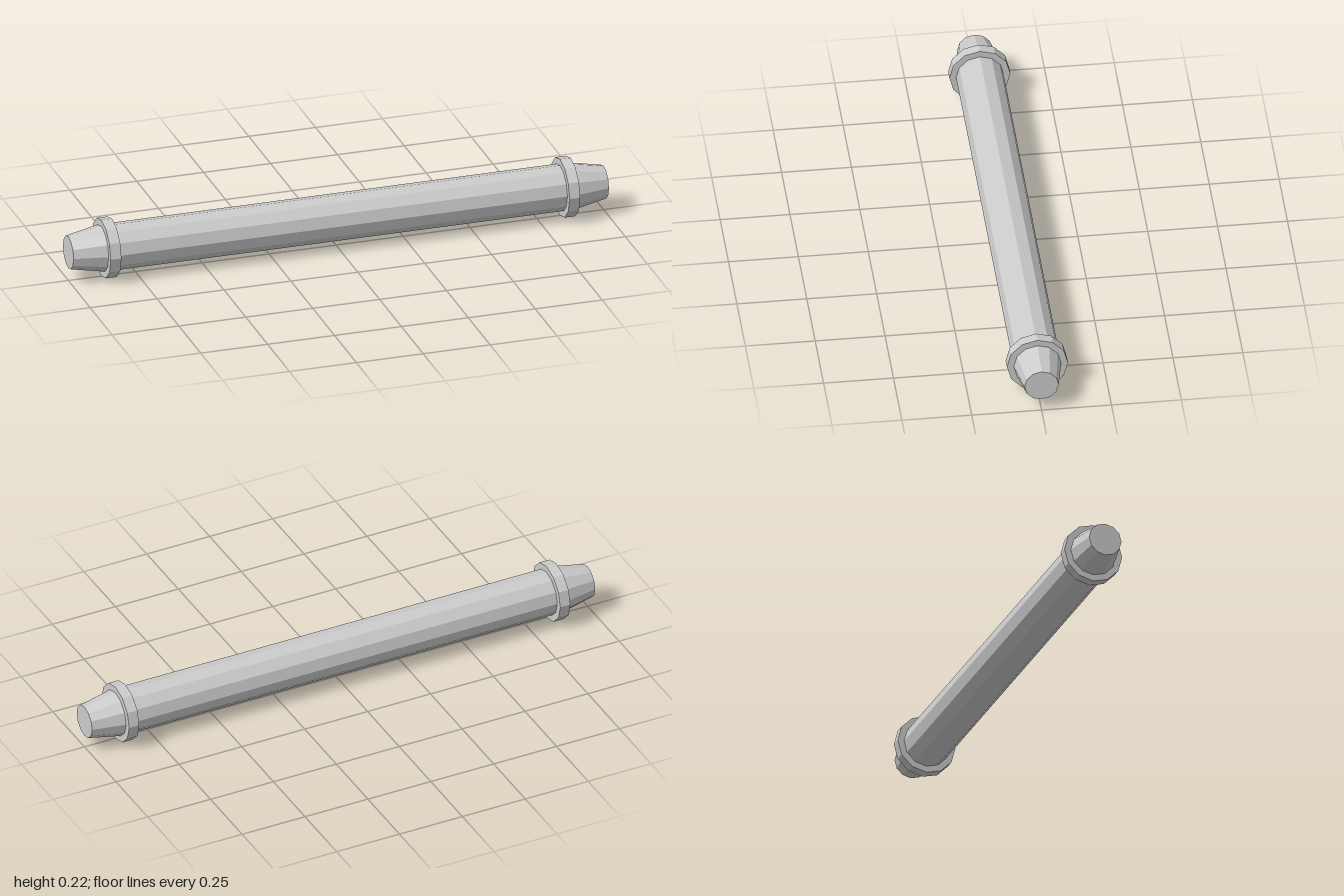
import * as THREE from 'three';

const SIDES = 12;
const AXIS_Y = 0.109;
const SHAFT_R = 0.085;
const COLLAR_R = 0.109;
const TIP_R = 0.061;
const COLLAR_IN = 0.837;
const COLLAR_OUT = 0.877;

export function createModel() {
  const model = new THREE.Group();
  const material = new THREE.MeshStandardMaterial({ color: 0xcccccc, flatShading: true });

  // Revolves [radius, distance] points around the long axis; dir = 1 or -1 picks the end
  function addTurned(name, points, dir) {
    const profile = points.map(([r, d]) => new THREE.Vector2(r, d));
    const mesh = new THREE.Mesh(new THREE.LatheGeometry(profile, SIDES), material);
    mesh.name = name;
    mesh.rotation.z = -dir * Math.PI / 2;
    mesh.position.y = AXIS_Y;
    model.add(mesh);
  }

  // Long straight shaft
  addTurned('shaft', [[SHAFT_R, -COLLAR_OUT], [SHAFT_R, COLLAR_OUT]], 1);

  for (const [side, dir] of [['left', 1], ['right', -1]]) {
    // Raised collar near the end
    addTurned(side + 'Collar', [
      [SHAFT_R, COLLAR_IN], [COLLAR_R, COLLAR_IN],
      [COLLAR_R, COLLAR_OUT], [SHAFT_R, COLLAR_OUT],
    ], dir);
    // Tapered tip with a flat end
    addTurned(side + 'Tip', [[SHAFT_R, COLLAR_OUT], [TIP_R, 1], [0, 1]], dir);
  }

  return model;
}
